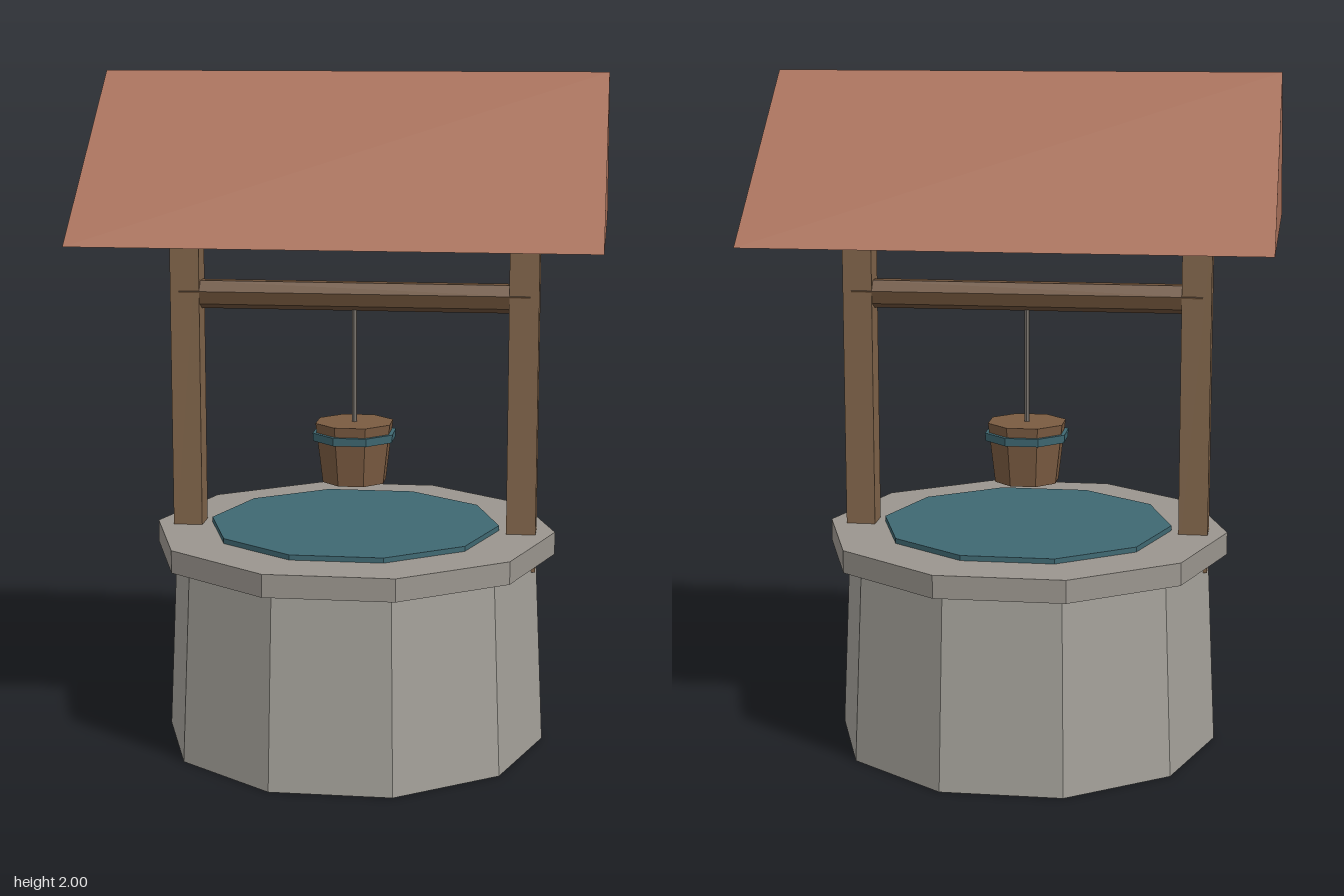
import * as THREE from 'three';

const mat = (name, color) => {
  const m = new THREE.MeshStandardMaterial({ color, flatShading: true });
  m.name = name;
  return m;
};

export function createModel() {
  const stone = mat('stone', 0xa3a099);
  const rimStone = mat('rimStone', 0x9a958e);
  const wood = mat('postWood', 0x80644a);
  const bucketWood = mat('bucketWood', 0x7a5b41);
  const axleWood = mat('axleWood', 0x6b5038);
  const teal = mat('waterTeal', 0x3f6872);
  const tile = mat('roofTile', 0xa8705a);
  const ropeGrey = mat('ropeGrey', 0x77716a);

  const group = new THREE.Group();
  group.name = 'well';
  const add = (name, geometry, material, parent = group) => {
    const mesh = new THREE.Mesh(geometry, material);
    mesh.name = name;
    parent.add(mesh);
    return mesh;
  };
  // Faceted drum between two heights
  const drum = (rTop, rBottom, y0, y1, sides, start) =>
    new THREE.CylinderGeometry(rTop, rBottom, y1 - y0, sides, 1, false, start)
      .translate(0, (y0 + y1) / 2, 0);

  // Ten-sided well with a corner on the x axis
  const side = Math.PI / 2;
  add('wellWall', drum(0.545, 0.573, 0, 0.6, 10, side), stone);
  add('wellRim', drum(0.602, 0.602, 0.578, 0.645, 10, side), rimStone);
  add('water', drum(0.435, 0.435, 0.62, 0.66, 10, side), teal);

  // Posts
  for (const s of [-1, 1]) {
    add(s > 0 ? 'leftPost' : 'rightPost', new THREE.BoxGeometry(0.087, 1.04, 0.085), wood)
      .position.set(s * 0.502, 1.05, 0);
  }

  // Seven-sided axle with a corner pointing down
  const axle = new THREE.CylinderGeometry(0.0447, 0.0447, 1.04, 7);
  axle.rotateY(Math.PI / 2).rotateZ(Math.PI / 2);
  axle.computeBoundingBox();
  if (axle.boundingBox.max.y > 0.044) axle.rotateX(Math.PI);
  add('axle', axle, axleWood).position.y = 1.345;

  // Rope and bucket
  add('rope', drum(0.008, 0.008, 0.95, 1.34, 6, 0), ropeGrey);
  const bucket = new THREE.Group();
  bucket.name = 'bucket';
  group.add(bucket);
  add('bucketBody', drum(0.12, 0.098, 0.787, 0.967, 8, Math.PI / 8), bucketWood, bucket);
  add('bucketBand', drum(0.129, 0.127, 0.914, 0.938, 8, Math.PI / 8), teal, bucket);

  // Solid gable roof
  const gable = new THREE.Shape();
  gable.moveTo(-0.545, 1.54);
  gable.lineTo(0.545, 1.54);
  gable.lineTo(0, 2);
  gable.closePath();
  const roof = new THREE.ExtrudeGeometry(gable, { depth: 1.466, bevelEnabled: false });
  roof.translate(0, 0, -0.733).rotateY(Math.PI / 2);
  add('roof', roof, tile);

  return group;
}
